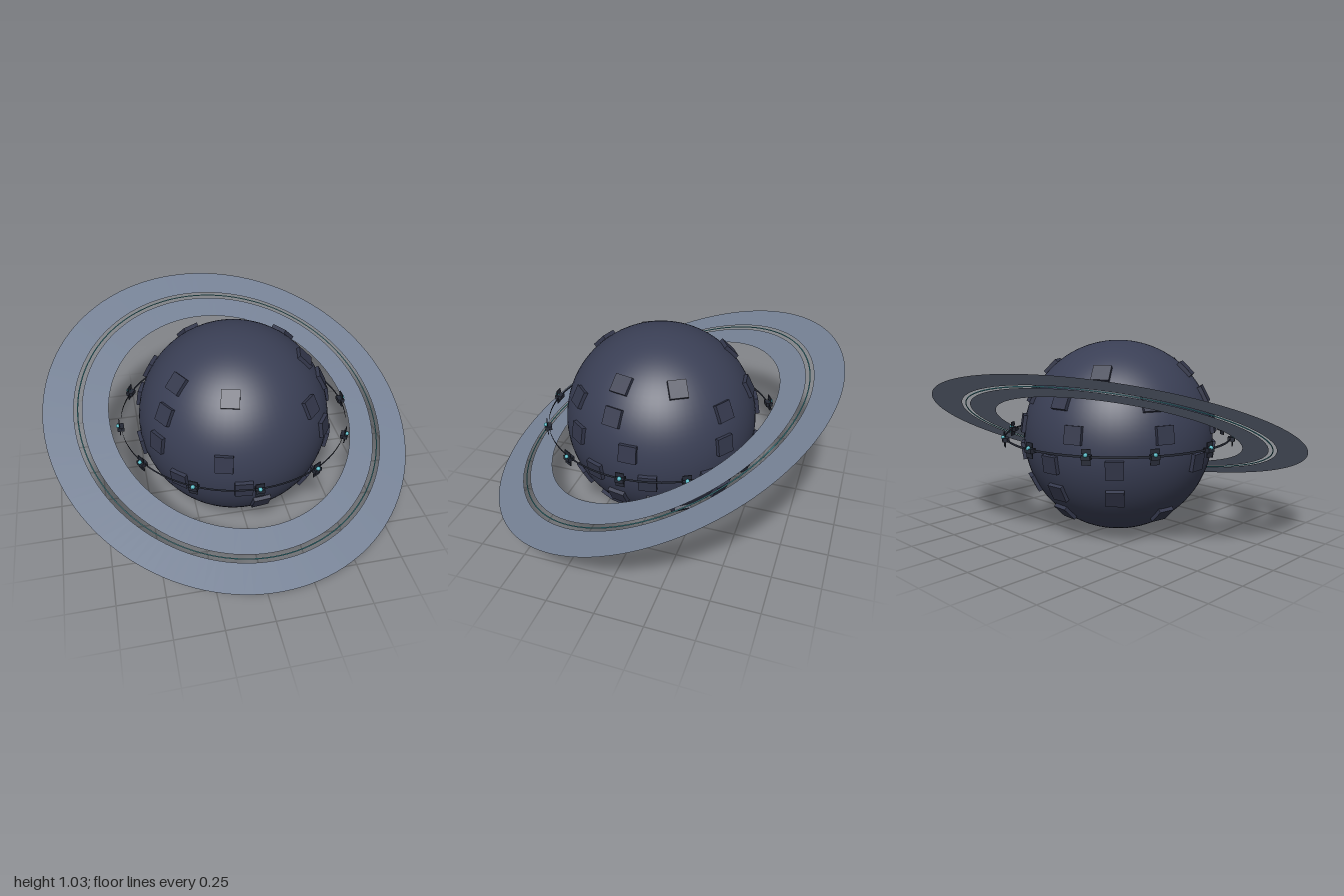
import * as THREE from 'three';

const mat = (name, color, side = THREE.FrontSide) => {
  const m = new THREE.MeshStandardMaterial({ color, side });
  m.name = name;
  return m;
};

export function createModel() {
  const hull = mat('hull slate', 0x3a3f55);
  const plating = mat('plating slate', 0x34384c);
  const ringGrey = mat('ring grey', 0x768296, THREE.DoubleSide);
  const dark = mat('dark metal', 0x262a36, THREE.DoubleSide);
  const teal = mat('teal light', 0x4fb3bf);

  const R = 0.513, CY = 0.514;
  const model = new THREE.Group();
  model.name = 'ringedStation';
  const add = (parent, name, geo, material, x = 0, y = 0, z = 0) => {
    const mesh = new THREE.Mesh(geo, material);
    mesh.name = name;
    mesh.position.set(x, y, z);
    parent.add(mesh);
    return mesh;
  };

  const core = new THREE.Group();
  core.name = 'core';
  core.position.y = CY;
  model.add(core);
  add(core, 'sphere', new THREE.SphereGeometry(R, 64, 48), hull);

  // Raised plates: [latitude, longitudes from +x towards +z], in degrees
  const rows = [
    [45, [13, 104, 151, 239, 329]],
    [27, [12, 45, 149, 206, 263, 300]],
    [9, [0, 36, 107, 150, 200, 251, 304]],
    [-9, [22, 96, 134, 175, 228, 267, 314, 349]],
    [-27, [10, 44, 84, 228, 267, 300, 345]],
    [-45, [28, 188, 275, 325]],
  ];
  const plateGeo = new THREE.BoxGeometry(0.092, 0.092, 0.03);
  for (const [lat, longitudes] of rows) {
    for (const lon of longitudes) {
      const a = THREE.MathUtils.degToRad(lat), b = THREE.MathUtils.degToRad(lon);
      const dir = new THREE.Vector3(Math.cos(a) * Math.cos(b), Math.sin(a), Math.cos(a) * Math.sin(b));
      const plate = add(core, 'surfacePlate', plateGeo, plating);
      plate.position.copy(dir).multiplyScalar(R + 0.002);
      plate.rotation.set(-a, Math.PI / 2 - b, 0, 'YXZ');
    }
  }

  // Tilted flat rings with a thin light line in the gap
  const rings = new THREE.Group();
  rings.name = 'tiltedRings';
  rings.position.y = 0.518;
  rings.rotation.set(Math.PI / 8, 0, -0.147);
  model.add(rings);
  for (const [name, inner, outer] of [['innerRing', 0.675, 0.812], ['outerRing', 0.854, 1.01]]) {
    add(rings, name, new THREE.RingGeometry(inner, outer, 128), ringGrey).rotation.x = -Math.PI / 2;
  }
  add(rings, 'lightRing', new THREE.TorusGeometry(0.834, 0.003, 6, 128), teal).rotation.x = Math.PI / 2;

  // Equatorial band with twelve small stations
  const orbit = new THREE.Group();
  orbit.name = 'equatorialOrbit';
  orbit.position.y = 0.518;
  model.add(orbit);
  add(orbit, 'orbitBand', new THREE.CylinderGeometry(0.612, 0.612, 0.012, 96, 1, true), dark);
  const bodyGeo = new THREE.BoxGeometry(0.036, 0.022, 0.045);
  const panelGeo = new THREE.BoxGeometry(0.005, 0.024, 0.045);
  const lampGeo = new THREE.SphereGeometry(0.011, 12, 8);
  for (let i = 0; i < 12; i++) {
    const station = new THREE.Group();
    station.name = 'station';
    station.rotation.y = (i * Math.PI) / 6;
    orbit.add(station);
    add(station, 'stationBody', bodyGeo, dark, 0.615, -0.002, 0);
    for (const s of [-1, 1]) add(station, 'stationPanel', panelGeo, dark, 0.62, s * 0.027, 0);
    add(station, 'stationLamp', lampGeo, teal, 0.628, 0.011, 0);
  }
  return model;
}
